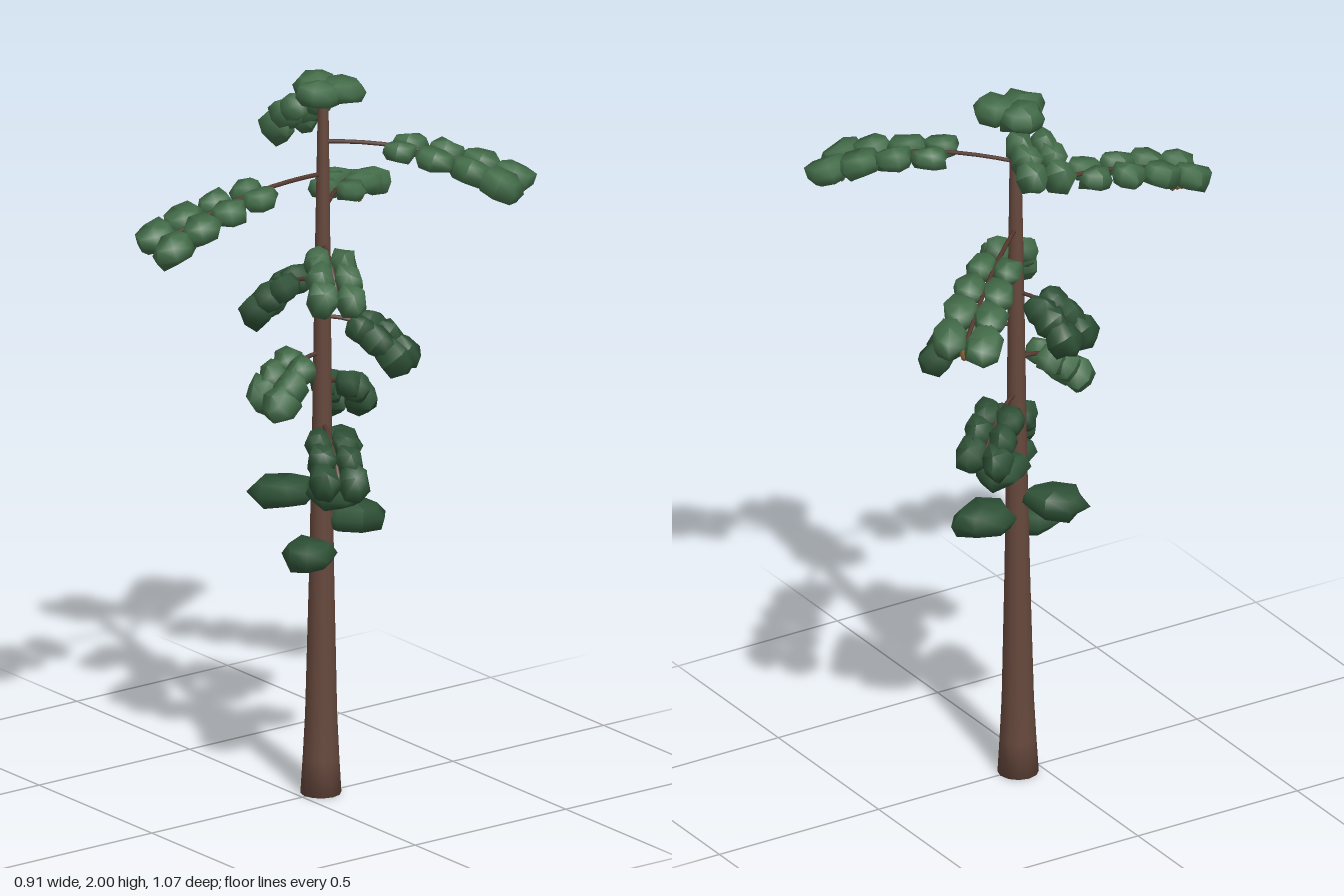
import * as THREE from 'three';

const mat = (name, color) => {
  const m = new THREE.MeshStandardMaterial({ color });
  m.name = name;
  return m;
};

function add(parent, name, geometry, material) {
  const mesh = new THREE.Mesh(geometry, material);
  mesh.name = name;
  parent.add(mesh);
  return mesh;
}

// Trunk centre leans slightly towards the top
const trunkAt = (y) => new THREE.Vector3(-0.005 - 0.004 * y, y, -0.065 - 0.007 * y);

// Faceted leaf pad: a coarse, full-shouldered unit sphere with uneven corners
function padGeometry(seed) {
  const g = new THREE.SphereGeometry(1, 7, 4);
  const p = g.attributes.position;
  const v = new THREE.Vector3();
  for (let i = 0; i < p.count; i++) {
    v.fromBufferAttribute(p, i);
    const n = Math.sin(Math.round(v.x * 50) * 12.9 + Math.round(v.y * 50) * 78.2 + Math.round(v.z * 50) * 37.7 + seed * 5.3) * 437.5;
    if (Math.abs(v.y) > 0.1 && Math.abs(v.y) < 0.9) v.multiplyScalar(1.12);
    v.multiplyScalar(0.88 + 0.3 * (n - Math.floor(n)));
    p.setXYZ(i, v.x, v.y, v.z);
  }
  g.computeVertexNormals();
  return g;
}

export function createModel() {
  const tree = new THREE.Group();
  tree.name = 'tree';
  const bark = mat('bark', 0x66483c);
  const twigBark = mat('twig bark', 0x55392f);
  const green = mat('foliage green', 0x436c49);
  const deepGreen = mat('deep foliage green', 0x2f5237);
  const coneBrown = mat('cone brown', 0x94683c);
  const pads = [0, 1, 2, 3, 4, 5, 6].map(padGeometry);
  let count = 0;

  // One pad aligned with a direction: half sizes across, thick, along
  function pad(parent, name, pos, forward, across, thick, along, material) {
    const mesh = add(parent, name, pads[count++ % pads.length], material);
    const f = forward.clone().normalize();
    const side = new THREE.Vector3(0, 1, 0).cross(f).normalize();
    const up = f.clone().cross(side);
    mesh.quaternion.setFromRotationMatrix(new THREE.Matrix4().makeBasis(side, up, f));
    mesh.position.copy(pos);
    mesh.scale.set(across, thick, along);
  }

  // Tapered trunk with a flared foot
  const profile = [[0, 0], [0.055, 0], [0.049, 0.1], [0.043, 0.22], [0.034, 0.6], [0.027, 1], [0.021, 1.5], [0.014, 1.95], [0, 1.96]];
  const trunk = new THREE.LatheGeometry(profile.map(([r, y]) => new THREE.Vector2(r, y)), 12);
  const tp = trunk.attributes.position;
  for (let i = 0; i < tp.count; i++) {
    const c = trunkAt(tp.getY(i));
    tp.setX(i, tp.getX(i) + c.x);
    tp.setZ(i, tp.getZ(i) + c.z);
  }
  add(tree, 'trunk', trunk, bark);

  // Arched branch carrying pairs of pads that grow towards the tip
  function branch(name, y, tip, steps, size, thickness, material, rise) {
    const group = new THREE.Group();
    group.name = name;
    tree.add(group);
    const start = trunkAt(y);
    const end = new THREE.Vector3(...tip);
    const control = start.clone().lerp(end, 0.55).setY(y + rise);
    const curve = new THREE.QuadraticBezierCurve3(start, control, end);
    add(group, 'twig', new THREE.TubeGeometry(curve, 10, 0.006, 6), twigBark);
    steps.forEach((t, i) => {
      const k = size[0] + (size[1] - size[0]) * i / (steps.length - 1);
      const f = curve.getTangent(t);
      const lateral = new THREE.Vector3(0, 1, 0).cross(f).normalize();
      for (const s of [-1, 1]) {
        const pos = curve.getPoint(t).addScaledVector(lateral, s * k * 0.8);
        pos.addScaledVector(f, s * k * 0.12);
        pos.y -= 0.004;
        pad(group, 'leafPad', pos, f, k * 0.86, k * thickness, k * 1.08, material);
      }
    });
    return { group, curve };
  }

  // Three long limbs with hanging cones at the ends
  const limbs = [
    [1.82, [0.375, 1.74, -0.42], 0.025],
    [1.73, [0, 1.64, 0.475], 0.015],
    [1.62, [-0.385, 1.535, -0.47], 0.015],
  ];
  const coneGeometry = new THREE.SphereGeometry(1, 7, 5);
  for (const [y, tip, rise] of limbs) {
    const { group, curve } = branch('longBranch', y, tip, [0.4, 0.59, 0.78, 0.96], [0.046, 0.059], 0.58, green, rise);
    for (let i = 0; i < 3; i++) {
      const cone = add(group, 'cone', coneGeometry, coneBrown);
      cone.position.copy(curve.getPoint(0.88 + 0.045 * i));
      cone.position.x += 0.012 * (i - 1);
      cone.position.y -= 0.037;
      cone.scale.set(0.012, 0.026, 0.012);
    }
  }

  // Shorter drooping branches with fuller pads
  const droops = [
    [1.92, [-0.165, 1.835, -0.08], green],
    [1.53, [0.155, 1.425, 0.0], green],
    [1.43, [-0.165, 1.335, 0.01], deepGreen],
    [1.33, [0.145, 1.225, -0.22], deepGreen],
    [1.23, [0.01, 1.135, 0.115], green],
    [1.13, [-0.14, 1.03, -0.26], deepGreen],
    [1.03, [0.185, 0.925, 0.015], deepGreen],
  ];
  for (const [y, tip, material] of droops) {
    branch('droopingBranch', y, tip, [0.5, 0.73, 0.95], [0.042, 0.049], 0.85, material, 0.015);
  }

  // Single pads low on the trunk
  const lowPads = [
    [-0.06, 0.948, -0.155], [0.11, 0.882, -0.02], [-0.1, 0.828, -0.01],
    [0.02, 0.765, -0.16], [0.065, 0.7, 0.025],
  ];
  for (const p of lowPads) {
    const pos = new THREE.Vector3(...p);
    const root = trunkAt(p[1] + 0.015);
    const flat = pos.clone().sub(root).setY(-0.005);
    pad(tree, 'lowPad', pos, flat, 0.07, 0.036, 0.088, deepGreen);
    add(tree, 'lowTwig', new THREE.TubeGeometry(new THREE.LineCurve3(root, pos), 1, 0.006, 6), twigBark);
  }

  // Crown
  const crown = [[-0.05, 1.967, -0.085], [0.026, 1.967, -0.11], [0.012, 1.965, -0.045]];
  crown.forEach((p, i) => {
    const dir = new THREE.Vector3(Math.sin(i * 2), 0, Math.cos(i * 2));
    pad(tree, 'crownPad', new THREE.Vector3(...p), dir, 0.06, 0.032, 0.064, green);
  });
  return tree;
}
